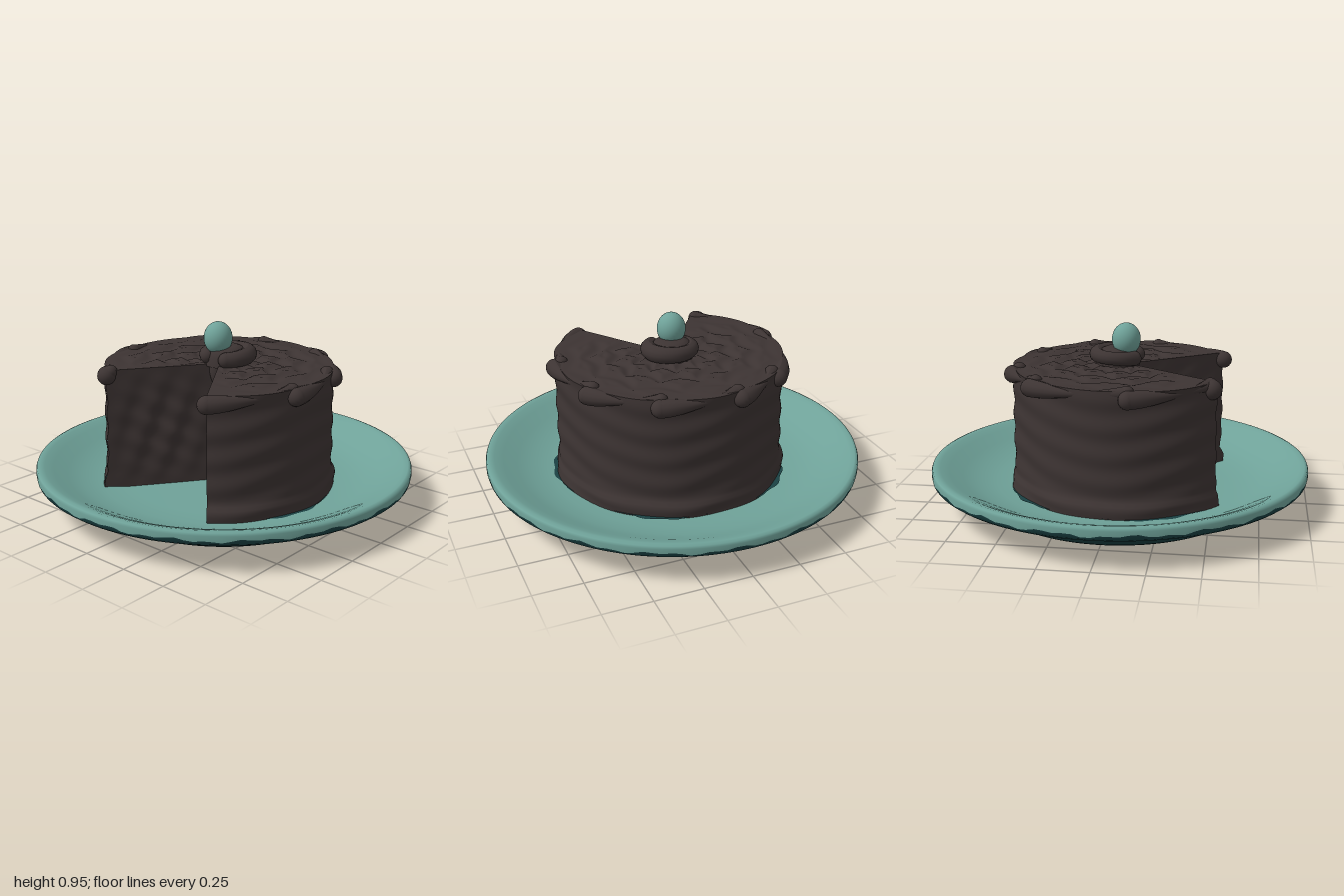
import * as THREE from 'three';

const rad = THREE.MathUtils.degToRad;
const V = (x, y, z) => new THREE.Vector3(x, y, z);

const BASE = 0.08, TOP = 0.735;          // cake heights
const A0 = rad(33), A1 = rad(327);       // cake runs round from one cut to the other
const APEX = V(0.005, 0, 0.04);          // inner tip of the missing slice

const radius = a => 0.6 + 0.04 * Math.cos(a);

// Smooth surface from a rule f(u, v); its front lies along du x dv
function patch(f, nu, nv) {
  const pos = [], idx = [];
  for (let j = 0; j <= nv; j++) for (let i = 0; i <= nu; i++) pos.push(...f(i / nu, j / nv).toArray());
  for (let j = 0; j < nv; j++) for (let i = 0; i < nu; i++) {
    const a = j * (nu + 1) + i, d = a + nu + 1;
    idx.push(a, a + 1, d + 1, a, d + 1, d);
  }
  const g = new THREE.BufferGeometry();
  g.setAttribute('position', new THREE.Float32BufferAttribute(pos, 3));
  g.setIndex(idx);
  g.computeVertexNormals();
  return g;
}

// Point in the cake: t = 0 at the slice tip, 1 at the outer wall
function cakePoint(a, t, y) {
  const foot = 0.02 * (1 - THREE.MathUtils.smoothstep(y, 0.15, 0.19));
  const wobble = 0.004 * Math.sin(y * 45 + 2 * Math.sin(a * 3)) + 0.004 * Math.sin(a * 9 + y * 6);
  const r = radius(a) - 0.005 + foot + wobble;
  return V(THREE.MathUtils.lerp(APEX.x, Math.sin(a) * r, t), y, THREE.MathUtils.lerp(APEX.z, Math.cos(a) * r, t));
}

// Tube whose thickness follows a rule, with round ends
function strand(points, thickness, material, name) {
  const group = new THREE.Group();
  group.name = name;
  const curve = new THREE.CatmullRomCurve3(points), n = 32, m = 12;
  const g = new THREE.TubeGeometry(curve, n, 1, m);
  const p = g.attributes.position, v = V(0, 0, 0);
  for (let i = 0; i < p.count; i++) {
    const s = Math.floor(i / (m + 1)) / n, c = curve.getPointAt(s);
    v.fromBufferAttribute(p, i).sub(c).multiplyScalar(thickness(s)).add(c);
    p.setXYZ(i, v.x, v.y, v.z);
  }
  g.computeVertexNormals();
  group.add(new THREE.Mesh(g, material));
  for (const s of [0, 1]) {
    const end = new THREE.Mesh(new THREE.SphereGeometry(thickness(s), 16, 12), material);
    end.position.copy(curve.getPointAt(s));
    group.add(end);
  }
  return group;
}

export function createModel() {
  const model = new THREE.Group();
  model.name = 'cakeOnPlate';
  const mat = (name, color) => {
    const m = new THREE.MeshStandardMaterial({ color });
    m.name = name;
    return m;
  };
  const teal = mat('paleTeal', 0x6fa299);
  const darkTeal = mat('darkTeal', 0x1a4143);
  const chocolate = mat('chocolate', 0x3d3433);
  const add = (parent, geometry, material, name) => {
    const mesh = new THREE.Mesh(geometry, material);
    mesh.name = name;
    parent.add(mesh);
    return mesh;
  };

  // Plate: glazed top and dark underside meet along an uneven line on the rim
  const plate = new THREE.Group();
  plate.name = 'plate';
  model.add(plate);
  const GLAZE = 0.175;
  const lathe = pts => {
    const g = new THREE.LatheGeometry(pts.map(q => new THREE.Vector2(...q)), 144);
    const p = g.attributes.position;
    for (let i = 0; i < p.count; i++) {
      if (Math.abs(p.getY(i) - GLAZE) > 1e-5) continue;
      const a = Math.atan2(p.getX(i), p.getZ(i));
      p.setY(i, GLAZE + 0.005 * Math.sin(a * 17) + 0.005 * Math.sin(a * 41 + 1));
    }
    return g;
  };
  add(plate, lathe([[0.69, 0], [0.72, 0.016], [0.78, 0.06], [0.85, 0.098], [0.93, 0.128],
    [0.98, 0.146], [0.996, 0.158], [1, GLAZE]]), darkTeal, 'plateUnderside');
  add(plate, lathe([[1, GLAZE], [1, 0.2], [0.995, 0.213], [0.98, 0.219], [0.955, 0.213], [0.91, 0.194],
    [0.84, 0.158], [0.76, 0.125], [0.66, 0.103], [0.52, 0.092], [0, 0.088]]), teal, 'plateTop');
  const foot = add(plate, new THREE.CircleGeometry(0.69, 96), chocolate, 'plateFoot');
  foot.rotation.x = Math.PI / 2;

  // Cake body: outer wall, frosted top, two cut faces
  const cake = new THREE.Group();
  cake.name = 'cake';
  model.add(cake);
  const angle = s => THREE.MathUtils.lerp(A0, A1, s);
  const height = s => THREE.MathUtils.lerp(BASE, TOP, s);
  add(cake, patch((u, v) => cakePoint(angle(u), 1, height(v)), 140, 40), chocolate, 'cakeWall');
  add(cake, patch((u, v) => {
    const p = cakePoint(angle(v), u, TOP);
    // rows of little scooped arcs in the frosting
    const r = Math.hypot(p.x, p.z), a = angle(v);
    const scoop = Math.abs(Math.sin(a * 6 + Math.floor(r / 0.12) * 1.6));
    const wave = Math.sin((r / 0.12 + 0.45 * scoop) * Math.PI * 2);
    p.y += 0.008 * wave * Math.sin(Math.PI * u) * Math.min(1, 12 * v, 12 * (1 - v));
    return p;
  }, 60, 160), chocolate, 'cakeTop');
  for (const side of [1, -1]) {
    add(cake, patch((u, v) => {
      const t = side > 0 ? u : 1 - u;
      const p = cakePoint(side > 0 ? A0 : A1, t, height(v));
      const fade = Math.sin(Math.PI * t) * Math.sin(Math.PI * v);
      p.x += fade * 0.008 * (Math.sin(t * 23 + v * 9) + Math.sin(v * 31 - t * 14));
      return p;
    }, 30, 30), chocolate, side > 0 ? 'leftCutFace' : 'rightCutFace');
  }

  // Dark smears on the plate around the cake
  add(model, patch((u, v) => {
    const a = angle(v), r = radius(a) + 0.018 + 0.018 * Math.sin(a * 5 + 1) + 0.006 * Math.sin(a * 23);
    return V(Math.sin(a) * r * (0.8 + 0.2 * u), 0.104, Math.cos(a) * r * (0.8 + 0.2 * u));
  }, 2, 140), darkTeal, 'plateSmear');

  // Piped strokes along the top edge: a fat head tapering into the next one
  const heads = [33, 75, 113, 152, 195, 227, 281, 325];
  for (let i = 0; i < heads.length - 1; i++) {
    const pts = [];
    for (let k = 0; k <= 8; k++) {
      const s = k / 8, a = rad(THREE.MathUtils.lerp(heads[i], heads[i + 1], s));
      const r = radius(a) - 0.035 * s;
      pts.push(V(Math.sin(a) * r, 0.695 + 0.025 * s, Math.cos(a) * r));
    }
    model.add(strand(pts, s => 0.032 + 0.014 * Math.cos(s * 5), chocolate, 'edgePiping'));
  }
  const last = add(model, new THREE.SphereGeometry(0.05, 20, 14), chocolate, 'edgePipingEnd');
  last.position.set(-0.36, 0.7, 0.5);

  // Rosette in the middle, open towards the missing slice
  const swirl = [];
  for (let k = 0; k <= 20; k++) {
    const s = k / 20, a = rad(38 + 290 * s), r = 0.118 - 0.012 * s;
    swirl.push(V(0.01 + Math.sin(a) * r, 0.772 + 0.012 * Math.sin(s * 3), -0.01 + Math.cos(a) * r));
  }
  model.add(strand(swirl, s => 0.04 + 0.005 * Math.sin(s * 6), chocolate, 'rosetteRing'));
  const mound = add(model, new THREE.LatheGeometry([[0.115, 0], [0.112, 0.05], [0.095, 0.085], [0.06, 0.1], [0, 0.102]]
    .map(q => new THREE.Vector2(...q)), 40), chocolate, 'rosetteMound');
  mound.position.set(0.005, 0.725, -0.01);
  const drip = add(model, new THREE.SphereGeometry(0.05, 20, 16), chocolate, 'rosetteDrip');
  drip.scale.set(0.9, 2, 0.9);
  drip.position.set(0.005, 0.715, 0.055);

  // Egg-shaped topping with a dark underside
  const egg = new THREE.Group();
  egg.name = 'topping';
  egg.position.set(-0.01, 0.868, 0.035);
  model.add(egg);
  const eggPart = (start, length, material, name) => {
    const g = new THREE.SphereGeometry(0.075, 32, 24, 0, Math.PI * 2, start, length);
    g.scale(1, 1.15, 1);
    add(egg, g, material, name);
  };
  eggPart(0, 2.4, teal, 'toppingTop');
  eggPart(2.4, Math.PI - 2.4, darkTeal, 'toppingUnderside');

  return model;
}
